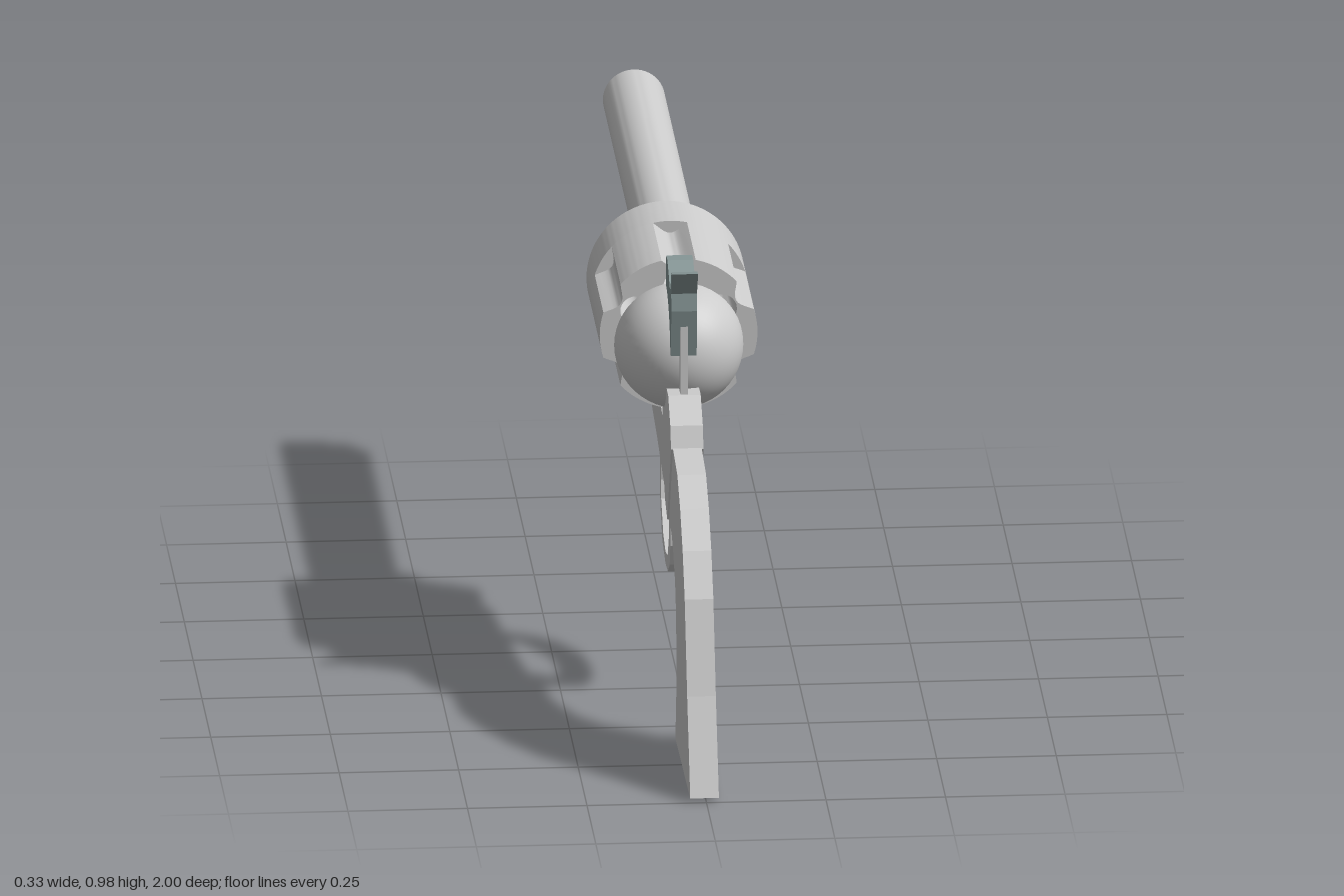
import * as THREE from 'three';
import { toCreasedNormals } from 'three/addons/utils/BufferGeometryUtils.js';

const CX = -0.004;    // mid-plane of the whole model
const DRUM_Y = 0.79;  // drum axis height
const DRUM_R = 0.165;

export function createModel() {
  const root = new THREE.Group();
  root.name = 'revolver';
  const grey = new THREE.MeshStandardMaterial({ color: 0xcccccc });
  const steel = new THREE.MeshStandardMaterial({ color: 0x869696 });

  const add = (name, geometry, material = grey) => {
    const mesh = new THREE.Mesh(geometry, material);
    mesh.name = name;
    root.add(mesh);
    return mesh;
  };

  // Flat plate from a side profile of [z, y] points, centred on the mid-plane
  const plate = (name, points, width, material) => {
    const shape = new THREE.Shape(points.map(([z, y]) => new THREE.Vector2(z, y)));
    const g = new THREE.ExtrudeGeometry(shape, { depth: width, bevelEnabled: false });
    g.translate(0, 0, -width / 2).rotateY(-Math.PI / 2).translate(CX, 0, 0);
    return add(name, g, material);
  };

  // Surface of revolution along z from [radius, z] points
  const turned = (name, profile, y) => {
    const g = new THREE.LatheGeometry(profile.map(([r, z]) => new THREE.Vector2(r, z)), 48);
    g.rotateX(Math.PI / 2).translate(CX, y, 0);
    return add(name, toCreasedNormals(g, 0.6));
  };

  plate('grip', [
    [1, 0.015], [0.913, 0.21], [0.843, 0.40], [0.785, 0.487], [0.715, 0.556],
    [0.635, 0.604], [0.51, 0.62], [0.404, 0.428], [0.474, 0.42], [0.517, 0.396],
    [0.57, 0.348], [0.60, 0.283], [0.613, 0.144], [0.58, 0.005],
  ], 0.06);

  plate('frame', [
    [0.51, 0.618], [0.49, 0.663], [0.43, 0.71], [0.38, 0.71], [0.265, 0.66],
    [0.265, 0.61], [0.14, 0.634], [-0.113, 0.634], [-0.113, 0.82], [-0.21, 0.82],
    [-0.21, 0.743], [-0.152, 0.684], [-0.137, 0.567], [-0.08, 0.56], [-0.06, 0.535],
    [0.115, 0.513], [0.32, 0.476], [0.345, 0.45], [0.404, 0.428],
  ], 0.068);

  plate('triggerGuard', [
    [0.404, 0.428], [0.37, 0.40], [0.37, 0.358], [0.35, 0.31], [0.30, 0.278],
    [0.233, 0.273], [0.142, 0.294], [0.088, 0.353], [0.072, 0.396], [0.072, 0.515],
    [0.147, 0.506], [0.104, 0.46], [0.099, 0.412], [0.11, 0.374], [0.169, 0.316],
    [0.233, 0.299], [0.292, 0.31], [0.324, 0.358], [0.324, 0.476],
  ], 0.05);

  // Thin spine behind the dome, below the hammer
  plate('backSpine', [[0.36, 0.88], [0.42, 0.87], [0.426, 0.70], [0.36, 0.70]], 0.016);

  plate('hammer', [
    [0.453, 0.984], [0.426, 0.98], [0.41, 0.952], [0.388, 0.925], [0.345, 0.952],
    [0.313, 0.968], [0.281, 0.968], [0.27, 0.93], [0.28, 0.89], [0.335, 0.87],
    [0.37, 0.83], [0.39, 0.79], [0.41, 0.79], [0.426, 0.893], [0.42, 0.93],
  ], 0.054, steel);

  // Drum: plain front ring and fluted rear, pierced by six chambers
  const drumSection = (name, z0, z1, fluteDepth) => {
    const steps = 144, outline = [];
    for (let i = 0; i < steps; i++) {
      const a = (i / steps) * Math.PI * 2;
      const period = Math.PI / 3;
      const off = Math.abs((a % period) - period / 2); // angle from nearest flute
      const t = Math.min(off / 0.21, 1);
      const r = DRUM_R - fluteDepth * (1 - t * t);
      outline.push(new THREE.Vector2(Math.cos(a) * r, Math.sin(a) * r));
    }
    const shape = new THREE.Shape(outline);
    for (let k = 0; k < 6; k++) {
      const a = (k + 0.5) * Math.PI / 3;
      const hole = new THREE.Path();
      hole.absarc(Math.cos(a) * 0.104, Math.sin(a) * 0.104, 0.032, 0, Math.PI * 2, true);
      shape.holes.push(hole);
    }
    const g = new THREE.ExtrudeGeometry(shape, { depth: z1 - z0, bevelEnabled: false, curveSegments: 12 });
    g.translate(CX, DRUM_Y, z0);
    add(name, toCreasedNormals(g, 0.6));
  };
  drumSection('drumFront', -0.11, 0.02, 0);
  drumSection('drumFluted', 0.02, 0.265, 0.026);

  // Rounded shield behind the drum
  const dome = new THREE.SphereGeometry(0.135, 48, 16, 0, Math.PI * 2, 0, Math.PI / 2);
  dome.rotateX(Math.PI / 2).translate(CX, 0.768, 0.266);
  add('dome', dome, new THREE.MeshStandardMaterial({ color: 0xcccccc, side: THREE.DoubleSide }));

  // Hollow barrel and the solid rod beneath it
  turned('barrel', [[0.04, -0.11], [0.04, -1], [0.065, -1], [0.065, -0.11], [0.04, -0.11]], 0.878);
  turned('ejectorRod', [[0, -1], [0.029, -1], [0.029, -0.2], [0, -0.2]], 0.785);

  return root;
}
